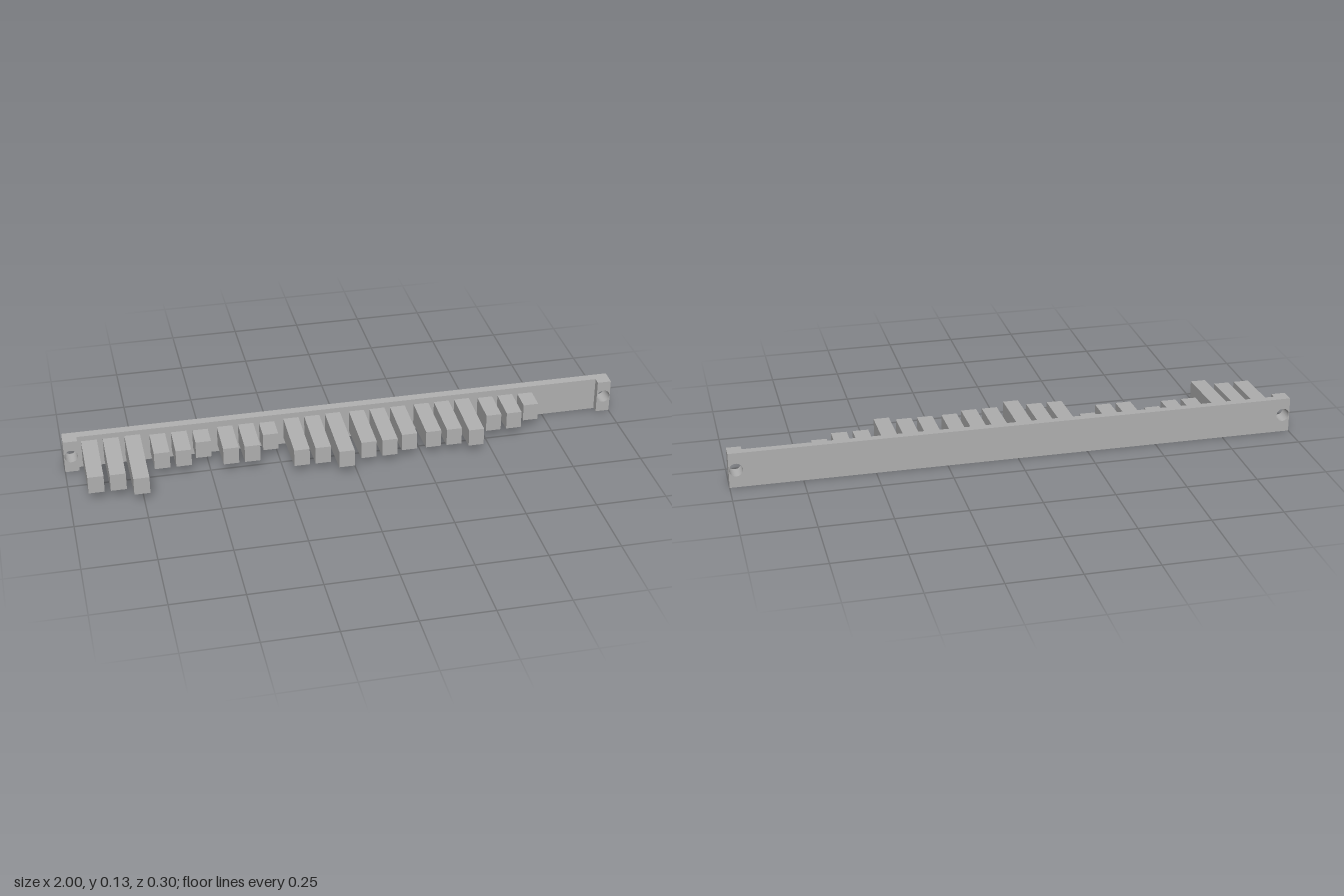
import * as THREE from 'three';

const MID = 0.063;   // centre height of the bar
const BACK = -0.149, FACE = -0.118, TAB_FACE = -0.092;
const DRAFT = 0.045; // slope of the tapered top and bottom faces

// Draws the top and bottom faces together towards +z, starting from zWide
function addDraft(geometry, halfHeight, zWide) {
  const p = geometry.attributes.position;
  for (let i = 0; i < p.count; i++) {
    const dy = p.getY(i) - MID;
    if (Math.abs(Math.abs(dy) - halfHeight) < 1e-4) {
      p.setY(i, p.getY(i) - Math.sign(dy) * DRAFT * (p.getZ(i) - zWide));
    }
  }
  geometry.computeVertexNormals();
  return geometry;
}

// Rectangular slab between two depths, pierced by round screw holes
function slab(x0, x1, z0, z1, holeXs) {
  const h = MID;
  const shape = new THREE.Shape([
    new THREE.Vector2(x0, MID - h), new THREE.Vector2(x1, MID - h),
    new THREE.Vector2(x1, MID + h), new THREE.Vector2(x0, MID + h),
  ]);
  for (const x of holeXs) {
    shape.holes.push(new THREE.Path().absarc(x, MID + 0.001, 0.0235, 0, Math.PI * 2, true));
  }
  const g = new THREE.ExtrudeGeometry(shape, { depth: z1 - z0, bevelEnabled: false, curveSegments: 32 });
  g.translate(0, 0, z0);
  return addDraft(g, h, BACK);
}

// Tapered bar reaching from the plate to zTip
function pin(x, zTip) {
  const tipHalf = 0.0315, depth = zTip - FACE;
  const half = tipHalf + DRAFT * depth;
  const g = new THREE.BoxGeometry(0.055, half * 2, depth);
  g.translate(x, MID + 0.001, FACE + depth / 2);
  const p = g.attributes.position;
  for (let i = 0; i < p.count; i++) {
    if (p.getZ(i) > FACE + depth / 2) {
      p.setY(i, MID + 0.001 + Math.sign(p.getY(i) - MID) * tipHalf);
    }
  }
  g.computeVertexNormals();
  return g;
}

export function createModel() {
  const model = new THREE.Group();
  const grey = new THREE.MeshStandardMaterial({ color: 0xb0b0b0 });
  grey.name = 'grey';
  const add = (name, geometry) => {
    const mesh = new THREE.Mesh(geometry, grey);
    mesh.name = name;
    model.add(mesh);
  };

  // Long back plate and the thicker mounting tabs at its ends
  add('backPlate', slab(-1, 1, BACK, FACE, [-0.975, 0.975]));
  add('rightMountingTab', slab(-1, -0.95, FACE, TAB_FACE, [-0.975]));
  add('leftMountingTab', slab(0.95, 1, FACE, TAB_FACE, [0.975]));

  // Seven groups of three pins; each number is the depth of a pin's tip
  const tips = [
    [0.108, 0.108, 0.149],
    [0.003, 0.003, -0.039],
    [0.024, 0.024, -0.039],
    [0.087, 0.087, 0.129],
    [0.087, 0.087, 0.066],
    [0.066, 0.066, 0.087],
    [0.003, 0.003, -0.039],
  ];
  tips.forEach((group, g) => group.forEach((z, i) => {
    add(`pin${g * 3 + i + 1}`, pin(-0.908 + g * 0.2393 + i * 0.0757, z));
  }));
  return model;
}
